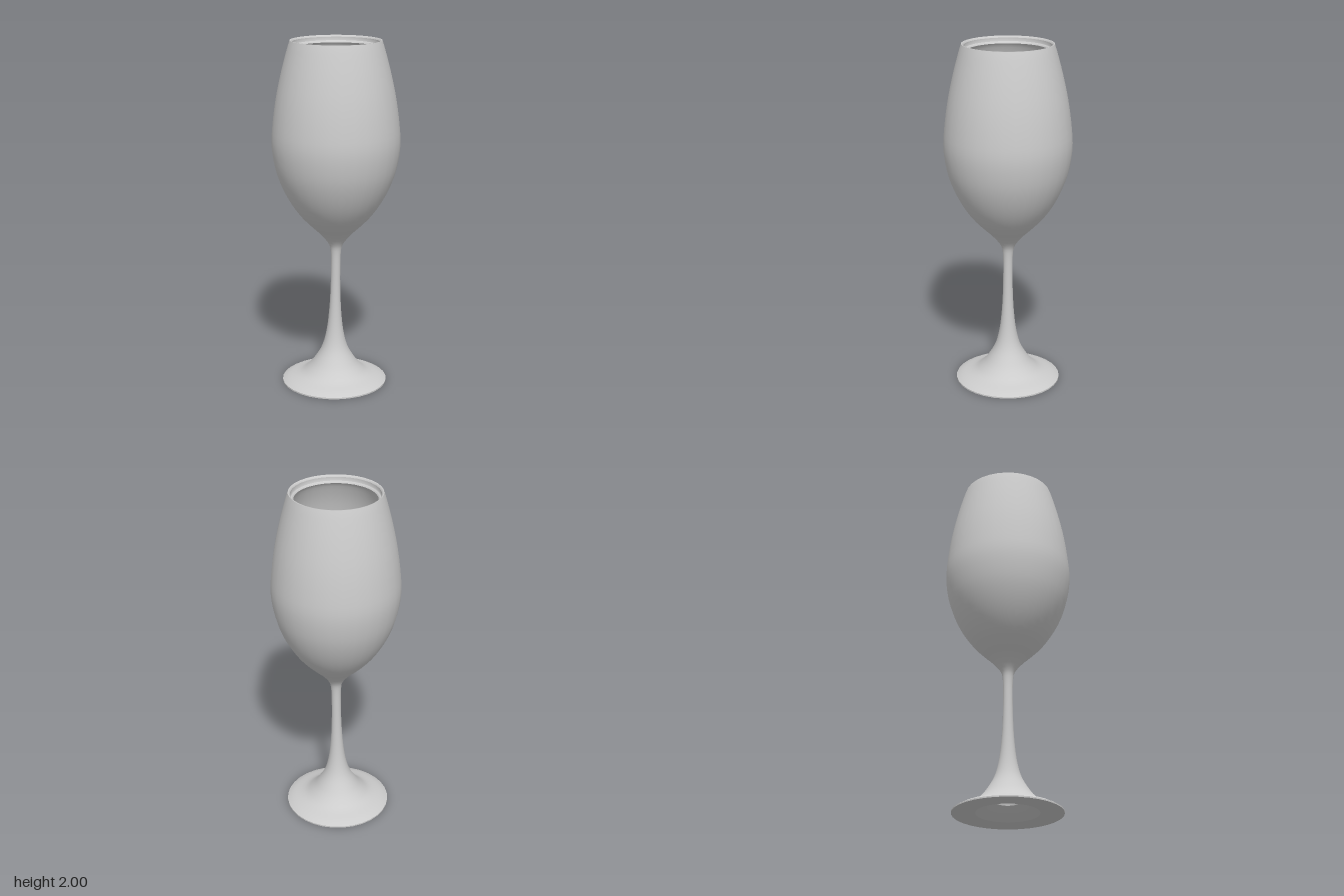
import * as THREE from 'three';

const SIDES = 32;

// Revolves a profile of [radius, height] pairs; smooth profiles pass through a spline.
function revolve(name, profile, samples = 0) {
  let points = profile.map(([r, y]) => new THREE.Vector2(r, y));
  if (samples) {
    points = new THREE.SplineCurve(points).getPoints(samples);
    points.forEach((p) => { p.x = Math.max(p.x, 0); });
  }
  const geometry = new THREE.LatheGeometry(points, SIDES);
  // The foot sits very slightly off the bowl's axis
  const pos = geometry.attributes.position;
  for (let i = 0; i < pos.count; i++) {
    const lean = THREE.MathUtils.clamp(1 - pos.getY(i) / 0.85, 0, 1);
    pos.setX(i, pos.getX(i) - 0.01 * lean);
  }
  const mesh = new THREE.Mesh(
    geometry,
    new THREE.MeshStandardMaterial({ color: 0xcccccc, side: THREE.DoubleSide })
  );
  mesh.name = name;
  return mesh;
}

export function createModel() {
  const glass = new THREE.Group();
  glass.name = 'wineGlass';

  glass.add(
    // Hollow running up inside the stem, then the sloping recess under the foot
    revolve('stemHollow', [[0, 0.3], [0.03, 0.24], [0.05, 0.15], [0.068, 0.065]], 10),
    revolve('footRecess', [[0.068, 0.065], [0.12, 0.03], [0.175, 0.003]]),
    revolve('footUnderside', [[0.175, 0.003], [0.305, 0]]),
    revolve('footEdge', [[0.305, 0], [0.305, 0.008]]),

    // Flared foot, slim stem and the outside of the bowl in one sweep
    revolve('outerSurface', [
      [0.305, 0.008], [0.27, 0.026], [0.2, 0.05], [0.155, 0.085], [0.118, 0.13],
      [0.075, 0.205], [0.05, 0.3], [0.036, 0.42], [0.029, 0.55], [0.027, 0.68],
      [0.029, 0.78], [0.042, 0.835], [0.09, 0.895], [0.145, 0.947], [0.205, 1.01],
      [0.262, 1.09], [0.31, 1.185], [0.344, 1.29], [0.362, 1.42], [0.354, 1.55],
      [0.334, 1.69], [0.304, 1.83], [0.272, 1.95], [0.256, 2],
    ], 72),

    // Rim with a narrow stepped groove just inside it
    revolve('rim', [[0.256, 2], [0.249, 2], [0.244, 1.99]]),
    revolve('rimGroove', [[0.244, 1.99], [0.244, 1.972], [0.238, 1.965], [0.234, 1.972], [0.227, 1.96]]),

    // Inside of the bowl
    revolve('innerSurface', [
      [0.227, 1.96], [0.246, 1.93], [0.282, 1.83], [0.312, 1.69], [0.333, 1.55],
      [0.341, 1.42], [0.324, 1.3], [0.288, 1.19], [0.235, 1.09], [0.17, 1.015],
      [0.09, 0.96], [0, 0.94],
    ], 36)
  );

  return glass;
}
